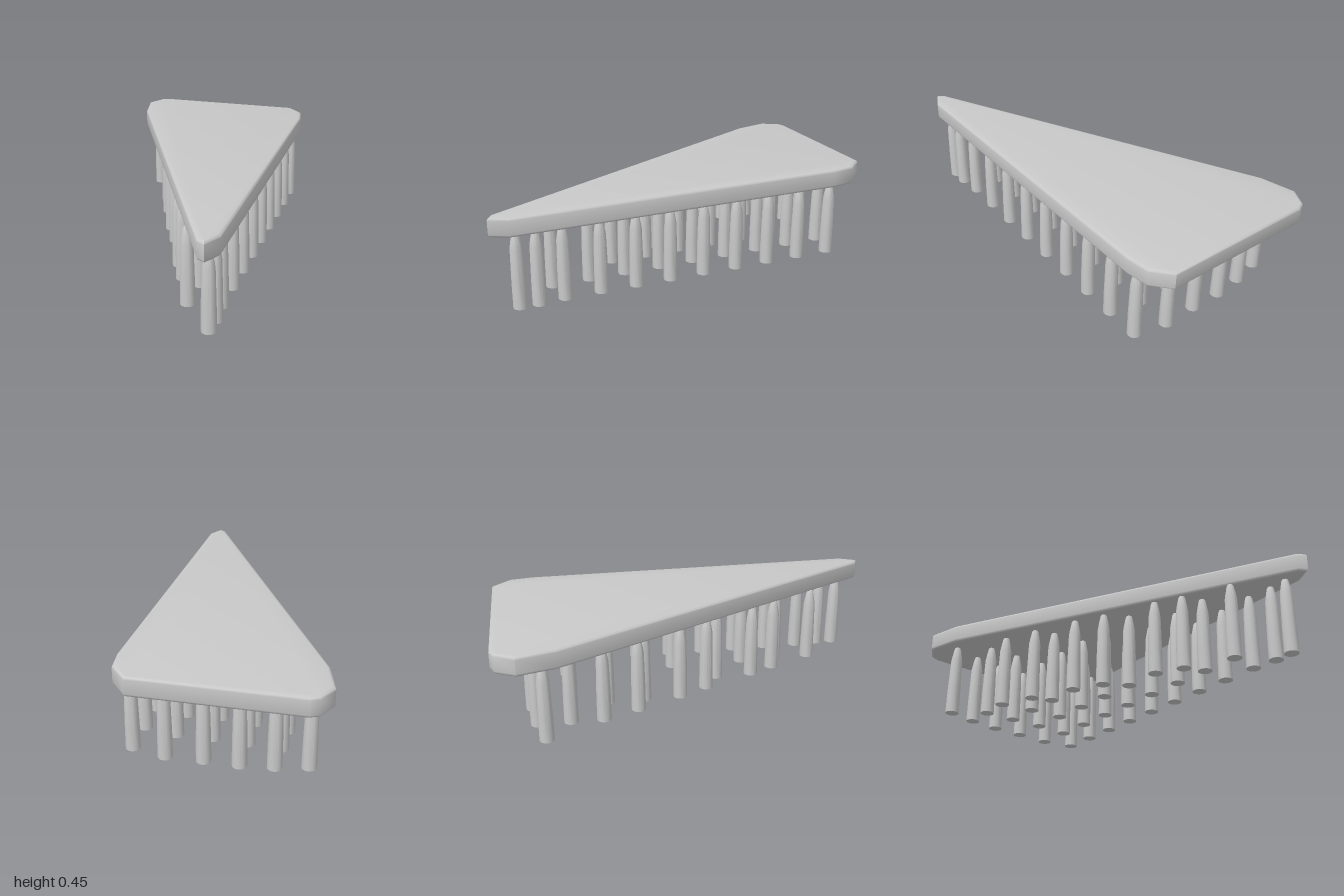
import * as THREE from 'three';
import { toCreasedNormals } from 'three/addons/utils/BufferGeometryUtils.js';

const paleGrey = new THREE.MeshStandardMaterial({ color: 0xc8c8c8 });
paleGrey.name = 'paleGrey';

// Slab: long clipped triangle with softened edges
function createSlab() {
  const bevel = 0.013;
  const outline = [
    [-0.44, -0.92], [-0.375, -0.992], [-0.33, -1], [0.38, -0.83], [0.435, -0.73],
    [0.425, -0.62], [0.04, 0.93], [-0.02, 1], [-0.05, 0.97], [-0.44, -0.75],
  ];
  const shape = new THREE.Shape(outline.map(([x, z]) => new THREE.Vector2(x, -z)));
  const geometry = new THREE.ExtrudeGeometry(shape, {
    depth: 0.09 - 2 * bevel,
    bevelEnabled: true,
    bevelThickness: bevel,
    bevelSize: bevel,
    bevelOffset: -bevel,
    bevelSegments: 3,
  });
  geometry.rotateX(-Math.PI / 2);
  geometry.translate(0, 0.358 + bevel, 0);
  const slab = new THREE.Mesh(toCreasedNormals(geometry, 0.75), paleGrey);
  slab.name = 'slab';
  return slab;
}

// Peg: gently tapered shaft with a narrowed neck and flat foot
function createPegGeometry() {
  const profile = [
    [0, 0], [0.033, 0], [0.032, 0.12], [0.028, 0.285], [0.024, 0.31], [0.016, 0.352], [0.012, 0.36], [0, 0.363],
  ].map(([r, y]) => new THREE.Vector2(r, y));
  return toCreasedNormals(new THREE.LatheGeometry(profile, 20), 0.6);
}

// Rows of pegs: start x, z, end x, z, count
const pegRows = [
  [0.375, -0.64, 0.033, 0.68, 9],
  [0.013, 0.8, -0.01, 0.883, 2],
  [0.233, -0.71, -0.111, 0.665, 9],
  [0.07, -0.744, -0.175, 0.3, 7],
  [-0.148, 0.433, -0.148, 0.433, 1],
  [-0.08, -0.78, -0.247, -0.115, 5],
  [-0.214, 0.035, -0.214, 0.035, 1],
  [-0.226, -0.797, -0.305, -0.514, 3],
  [-0.283, -0.34, -0.283, -0.34, 1],
  [-0.37, -0.797, -0.37, -0.797, 1],
];

export function createModel() {
  const model = new THREE.Group();
  model.name = 'peggedSlab';
  model.add(createSlab());

  const pegs = new THREE.Group();
  pegs.name = 'pegs';
  const pegGeometry = createPegGeometry();
  for (const [x0, z0, x1, z1, count] of pegRows) {
    for (let i = 0; i < count; i++) {
      const t = count > 1 ? i / (count - 1) : 0;
      const peg = new THREE.Mesh(pegGeometry, paleGrey);
      peg.name = 'peg';
      peg.position.set(x0 + (x1 - x0) * t, 0, z0 + (z1 - z0) * t);
      pegs.add(peg);
    }
  }
  model.add(pegs);
  return model;
}
